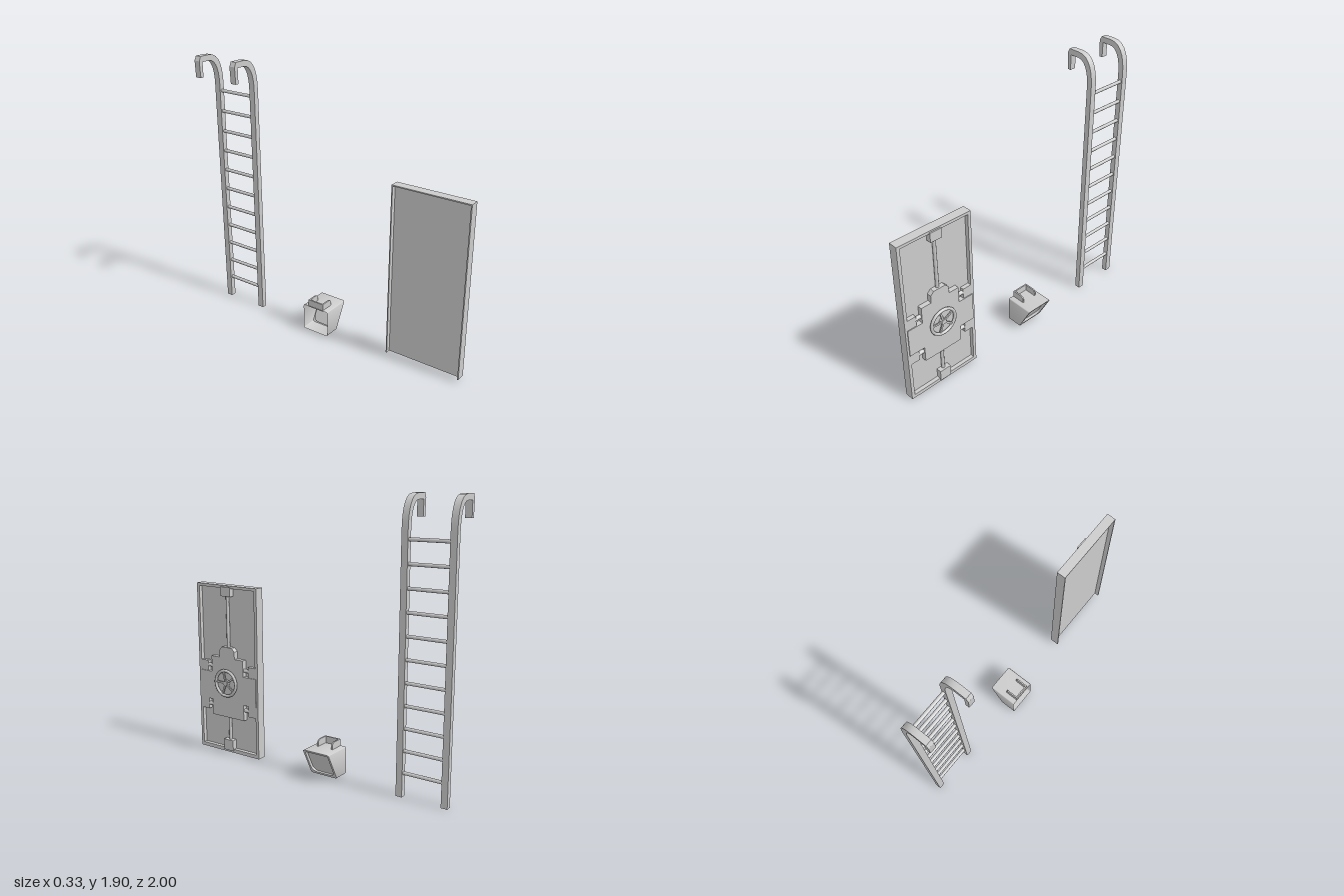
import * as THREE from 'three';
import { toCreasedNormals } from 'three/addons/utils/BufferGeometryUtils.js';

const material = new THREE.MeshStandardMaterial({ color: 0xcccccc });
const thin = new THREE.MeshStandardMaterial({ color: 0xcccccc, side: THREE.DoubleSide });

function add(group, name, geometry, x = 0, y = 0, z = 0, mat = material) {
  const mesh = new THREE.Mesh(geometry, mat);
  mesh.name = name;
  mesh.position.set(x, y, z);
  group.add(mesh);
  return mesh;
}

// Box given by its limits on each axis
function block(group, name, [x0, x1], [y0, y1], [z0, z1]) {
  return add(group, name, new THREE.BoxGeometry(x1 - x0, y1 - y0, z1 - z0),
    (x0 + x1) / 2, (y0 + y1) / 2, (z0 + z1) / 2);
}

const outline = (points) => new THREE.Shape(points.map(([x, y]) => new THREE.Vector2(x, y)));
const mirrored = (points) => [...points, ...points.map(([x, y]) => [-x, y]).reverse()];

// Slab facing +x, drawn in (width, height)
function slab(shape, x0, x1) {
  return new THREE.ExtrudeGeometry(shape, { depth: x1 - x0, bevelEnabled: false, curveSegments: 6 })
    .rotateY(Math.PI / 2).translate(x0, 0, 0);
}

function createLadder() {
  const ladder = new THREE.Group();
  ladder.name = 'ladder';
  const side = new THREE.Shape();
  side.moveTo(0.012, 0);
  side.lineTo(0.05, 0);
  side.lineTo(0.05, 1.68);
  side.bezierCurveTo(0.05, 1.81, 0.015, 1.9, -0.08, 1.9);
  side.lineTo(-0.155, 1.9);
  side.lineTo(-0.17, 1.87);
  side.lineTo(-0.165, 1.755);
  side.lineTo(-0.14, 1.755);
  side.lineTo(-0.14, 1.86);
  side.lineTo(-0.08, 1.86);
  side.bezierCurveTo(-0.015, 1.86, 0.012, 1.78, 0.012, 1.68);
  const rail = toCreasedNormals(new THREE.ExtrudeGeometry(side,
    { depth: 0.044, bevelEnabled: false, curveSegments: 7 }), 0.5);
  for (const z of [-0.684, -1]) add(ladder, 'rail', rail, 0, 0, z);
  const rung = new THREE.CylinderGeometry(0.012, 0.012, 0.29, 10).rotateX(Math.PI / 2);
  for (let i = 0; i < 11; i++) add(ladder, 'rung', rung, 0.032, 0.16 + i * 0.147, -0.82);
  return ladder;
}

function createWheel() {
  const wheel = new THREE.Group();
  wheel.name = 'handWheel';
  add(wheel, 'wheelRim', new THREE.TorusGeometry(0.093, 0.011, 8, 32).rotateY(Math.PI / 2));
  add(wheel, 'wheelHub', new THREE.CylinderGeometry(0.018, 0.022, 0.03, 12).rotateZ(-Math.PI / 2), -0.007);
  for (let i = 0; i < 5; i++) {
    const spoke = add(wheel, 'wheelSpoke', new THREE.BoxGeometry(0.009, 0.08, 0.013).translate(0, 0.05, 0));
    spoke.rotation.x = (i / 5) * Math.PI * 2 + 0.25;
  }
  wheel.position.set(0.114, 0.54, 0);
  return wheel;
}

function createDoor() {
  const door = new THREE.Group();
  door.name = 'door';
  const w = 0.275, bottom = 0.015, top = 1.245;
  // Front rim with thicker zones beside the bolts
  const rim = outline([[-w, bottom], [w, bottom], [w, top], [-w, top]]);
  rim.holes.push(outline(mirrored([[0.252, 0.042], [0.252, 0.315], [0.188, 0.315],
    [0.188, 0.68], [0.252, 0.68], [0.252, 1.225]])));
  add(door, 'rim', slab(rim, 0.06, 0.09));
  block(door, 'panel', [0.056, 0.062], [bottom, top], [-w, w]);
  // Flanges behind the panel, open at the bottom
  block(door, 'topFlange', [0.024, 0.06], [top - 0.008, top], [-w, w]);
  for (const s of [-1, 1]) {
    const span = (a, b) => (s > 0 ? [a, b] : [-b, -a]);
    block(door, 'sideFlange', [0.024, 0.06], [bottom, top], span(w - 0.008, w));
    block(door, 'latchBlock', [0.06, 0.096], [0.396, 0.604], span(0.145, 0.26));
    for (const y of [0.355, 0.648]) {
      add(door, 'bolt', new THREE.CylinderGeometry(0.014, 0.014, 0.06, 10).rotateX(Math.PI / 2), 0.077, y, s * 0.167);
    }
  }
  // Central lock case
  const lock = outline(mirrored([[0.147, 0.28], [0.147, 0.722], [0.07, 0.722], [0.07, 0.775], [0.045, 0.8]]));
  add(door, 'lockCase', slab(lock, 0.06, 0.096));
  // Upper and lower rods with their sockets
  block(door, 'topSocket', [0.06, 0.1], [1.168, 1.235], [-0.043, 0.043]);
  block(door, 'bottomSocket', [0.06, 0.1], [0.03, 0.11], [-0.043, 0.043]);
  for (const [a, b] of [[0.1, 0.29], [0.79, 1.18]]) {
    add(door, 'lockRod', new THREE.CylinderGeometry(0.012, 0.012, b - a, 10), 0.074, (a + b) / 2, 0);
  }
  door.add(createWheel());
  door.position.z = 0.725;
  return door;
}

// Loop of a rounded rectangle in (z, y); xOf places each point in depth
function loop(halfWidth, y0, y1, topR, lowR, xOf) {
  const points = [];
  const corners = [[1, y1, topR, 0], [-1, y1, topR, 1], [-1, y0, lowR, 2], [1, y0, lowR, 3]];
  for (const [s, y, r, quarter] of corners) {
    for (let i = 0; i <= 4; i++) {
      const a = (quarter + i / 4) * Math.PI / 2;
      const py = y + (quarter < 2 ? -r : r) + r * Math.sin(a);
      points.push([xOf(py), py, s * (halfWidth - r) + r * Math.cos(a)]);
    }
  }
  return points;
}

function createLamp() {
  const lamp = new THREE.Group();
  lamp.name = 'wallHood';
  const slope = (y) => 0.162 - (0.207 - y) * 0.53;
  const recessed = (y) => slope(y) - 0.022;
  // Hood from the open back, over the slanted lip, into the recessed face
  const loops = [
    loop(0.104, 0.013, 0.207, 0.012, 0.012, () => -0.05),
    loop(0.104, 0.013, 0.207, 0.012, 0.012, slope),
    loop(0.09, 0.03, 0.193, 0.008, 0.035, slope),
    loop(0.09, 0.03, 0.193, 0.008, 0.035, recessed),
  ];
  const n = loops[0].length, positions = loops.flat(2), index = [];
  for (let k = 0; k < 3; k++) {
    for (let i = 0; i < n; i++) {
      const a = k * n + i, b = k * n + (i + 1) % n;
      index.push(a, a + n, b, b, a + n, b + n);
    }
  }
  for (let i = 1; i < n - 1; i++) index.push(3 * n, 3 * n + i + 1, 3 * n + i);
  const geometry = new THREE.BufferGeometry();
  geometry.setAttribute('position', new THREE.Float32BufferAttribute(positions, 3));
  geometry.setIndex(index);
  add(lamp, 'hood', toCreasedNormals(geometry, 0.6), 0, 0, 0, thin);

  // U-shaped bracket on top
  block(lamp, 'bracketBack', [-0.046, -0.036], [0.2, 0.255], [-0.062, 0.062]);
  const arm = new THREE.Shape();
  arm.moveTo(-0.046, 0.2);
  arm.lineTo(0.053, 0.2);
  arm.lineTo(0.053, 0.225);
  arm.quadraticCurveTo(0.053, 0.255, 0.023, 0.255);
  arm.lineTo(-0.046, 0.255);
  const armGeometry = new THREE.ExtrudeGeometry(arm, { depth: 0.01, bevelEnabled: false, curveSegments: 5 });
  for (const z of [-0.062, 0.052]) add(lamp, 'bracketArm', armGeometry, 0, 0, z);
  lamp.position.z = -0.094;
  return lamp;
}

export function createModel() {
  const model = new THREE.Group();
  model.name = 'shipFittings';
  model.add(createLadder(), createDoor(), createLamp());
  return model;
}
